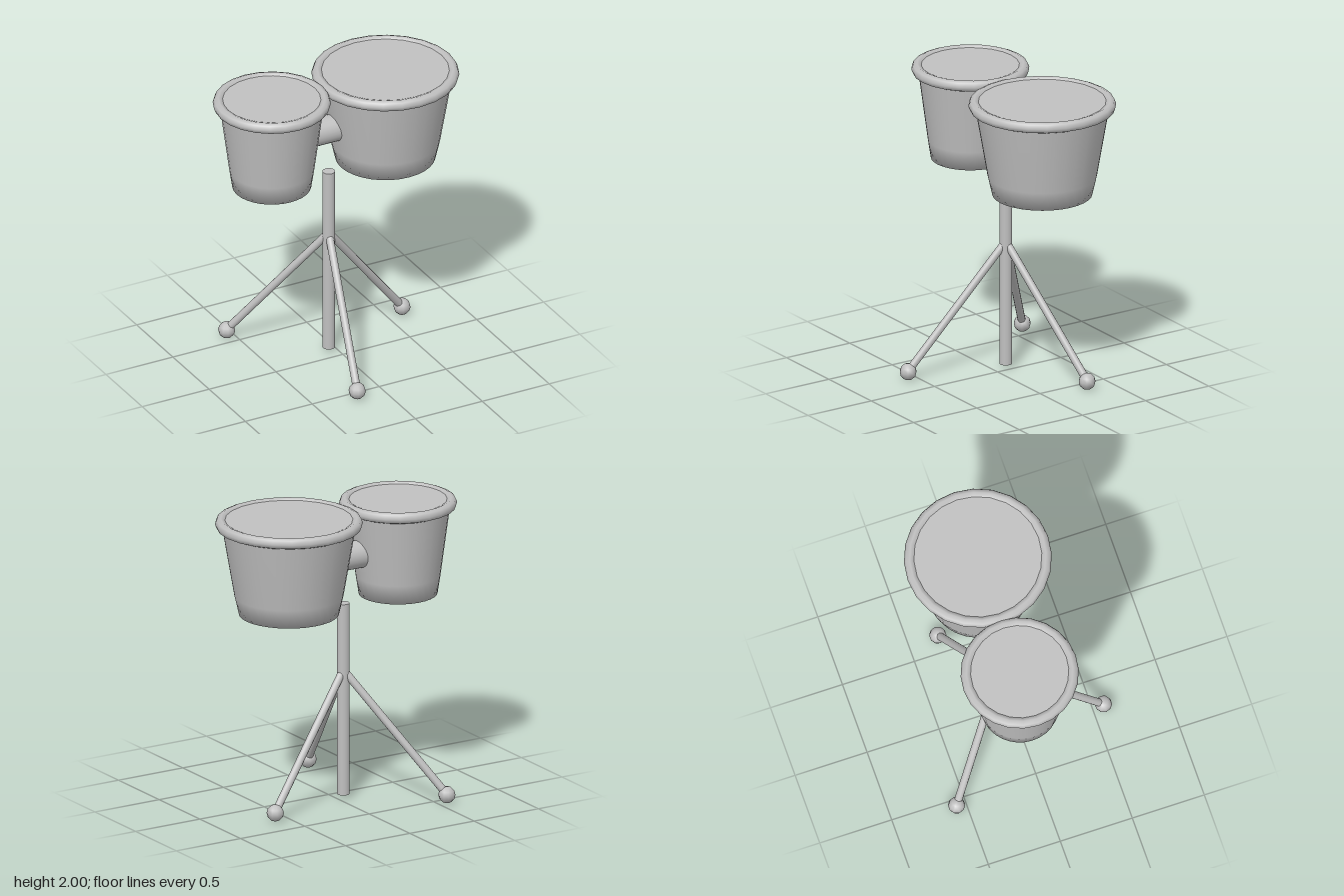
import * as THREE from 'three';

const AXIS_Z = -0.1; // depth shared by the pole and both drums

export function createModel() {
  const model = new THREE.Group();
  model.name = 'twinDrumsOnStand';
  const grey = new THREE.MeshStandardMaterial({ color: 0xc0c0c0 });
  grey.name = 'plain grey';

  const add = (parent, name, geometry, x = 0, y = 0, z = 0) => {
    const mesh = new THREE.Mesh(geometry, grey);
    mesh.name = name;
    mesh.position.set(x, y, z);
    parent.add(mesh);
    return mesh;
  };

  // Round bar between two points
  const addBar = (parent, name, from, to, radius, sides) => {
    const dir = to.clone().sub(from);
    const bar = add(parent, name, new THREE.CylinderGeometry(radius, radius, dir.length(), sides));
    bar.position.copy(from).add(to).multiplyScalar(0.5);
    bar.quaternion.setFromUnitVectors(new THREE.Vector3(0, 1, 0), dir.normalize());
    return bar;
  };

  // Drum: tapered shell with softened base, round rim and flat head
  const addDrum = (name, x, base, knee, rim) => {
    const drum = new THREE.Group();
    drum.name = name;
    drum.position.set(x, 0, AXIS_Z - 0.003);
    model.add(drum);
    const profile = [
      [0, 1.34], [base, 1.34], [knee, 1.47], [rim - 0.01, 1.93], [rim, 1.98],
    ].map(([r, y]) => new THREE.Vector2(r, y));
    add(drum, 'shell', new THREE.LatheGeometry(profile, 32));
    add(drum, 'rim', new THREE.TorusGeometry(rim, 0.038, 8, 24).rotateX(Math.PI / 2), 0, 1.962, 0);
    add(drum, 'head', new THREE.CircleGeometry(rim, 32).rotateX(-Math.PI / 2), 0, 1.987, 0);
  };
  addDrum('smallDrum', -0.476, 0.26, 0.28, 0.351);
  addDrum('largeDrum', 0.373, 0.33, 0.36, 0.449);

  // Connector joining the two shells
  addBar(model, 'connector', new THREE.Vector3(-0.25, 1.657, AXIS_Z),
    new THREE.Vector3(0.07, 1.657, AXIS_Z), 0.093, 24);

  // Stand: centre pole and three splayed legs with ball feet
  const stand = new THREE.Group();
  stand.name = 'stand';
  model.add(stand);
  const poleX = -0.052;
  addBar(stand, 'pole', new THREE.Vector3(poleX, 0.025, AXIS_Z),
    new THREE.Vector3(poleX, 1.34, AXIS_Z), 0.042, 16);
  const hub = new THREE.Vector3(poleX, 0.88, AXIS_Z);
  for (const [x, z] of [[-0.56, -0.57], [-0.203, 0.572], [0.605, -0.302]]) {
    const foot = new THREE.Vector3(x, 0.06, z);
    addBar(stand, 'leg', hub, foot, 0.026, 12);
    add(stand, 'foot', new THREE.SphereGeometry(0.057, 10, 6), x, 0.058, z);
  }
  return model;
}
